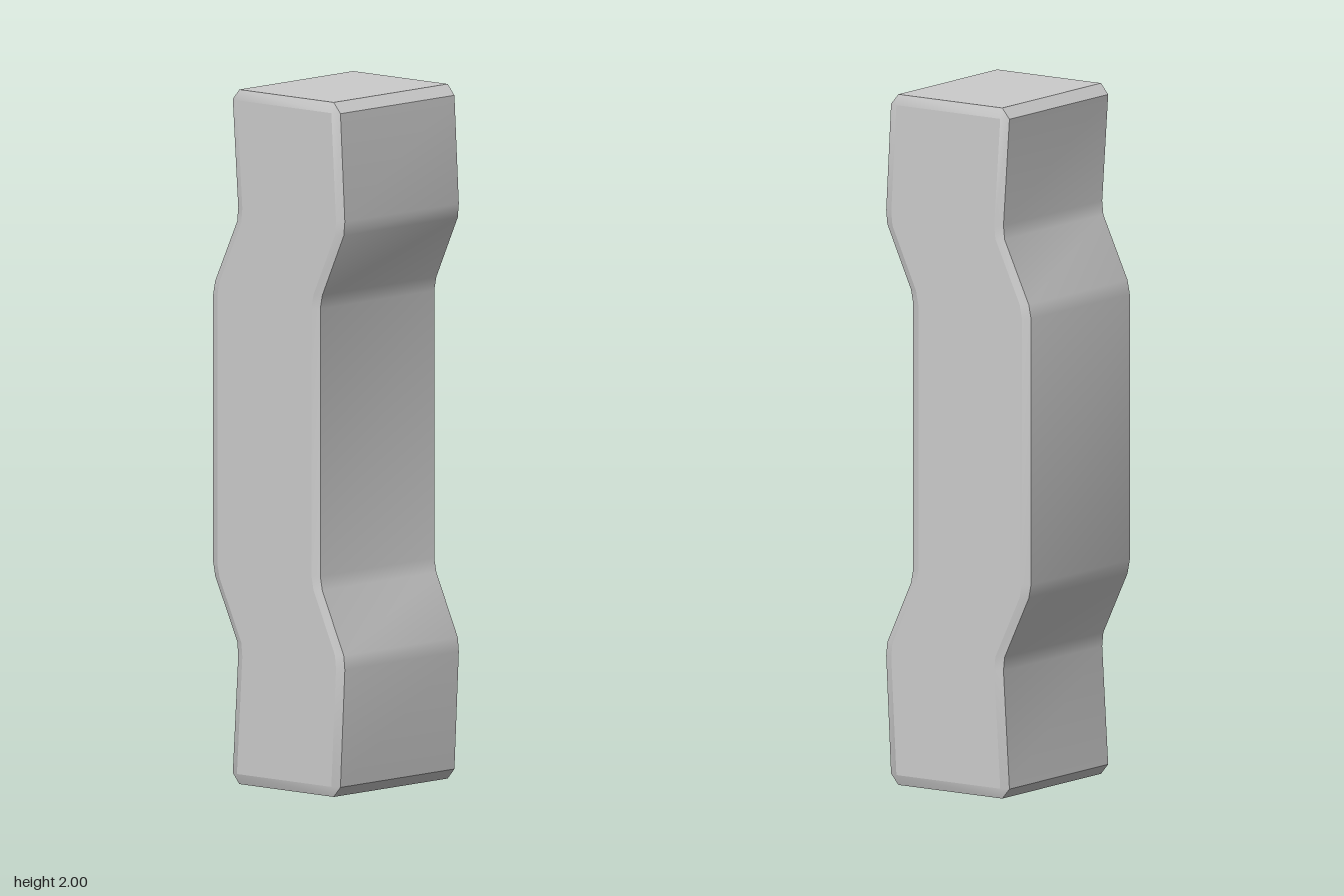
import * as THREE from 'three';
import { toCreasedNormals } from 'three/addons/utils/BufferGeometryUtils.js';

const SIDE_Z = 0.24, CAP_Z = 0.25, INSET = 0.025, LIP = 0.03;

// Bent edge from bottom to top: [x, y]; first and last points lie on the end faces
const bends = (end, corner, knee, knee2, waist, waist2) => [
  [end, 0], [corner, LIP], [knee, 0.37], [knee2, 0.41], [waist, 0.59], [waist2, 0.63],
  [waist2, 1.4], [waist, 1.44], [knee2, 1.62], [knee, 1.66], [corner, 2 - LIP], [end, 2],
];

// Surface strip joining two rings of equal point count, smooth along gentle bends
function strip(front, back) {
  const pos = [];
  const tri = (a, b, c) => {
    if (a.distanceTo(b) > 1e-5 && b.distanceTo(c) > 1e-5 && c.distanceTo(a) > 1e-5)
      for (const p of [a, b, c]) pos.push(p.x, p.y, p.z);
  };
  front.forEach((f, i) => {
    const j = (i + 1) % front.length;
    tri(f, back[i], back[j]);
    tri(f, back[j], front[j]);
  });
  const g = new THREE.BufferGeometry();
  g.setAttribute('position', new THREE.Float32BufferAttribute(pos, 3));
  return toCreasedNormals(g, 0.6);
}

export function createModel() {
  const group = new THREE.Group();
  group.name = 'bentBlock';
  const material = new THREE.MeshStandardMaterial({ color: 0xcccccc });
  const add = (name, geometry) => {
    const mesh = new THREE.Mesh(geometry, material);
    mesh.name = name;
    group.add(mesh);
    return mesh;
  };

  // Outline runs up the left edge (+x) and down the right edge (-x)
  const left = bends(0.21, 0.236, 0.253, 0.249, 0.166, 0.158);
  const right = bends(-0.155, -0.18, -0.159, -0.163, -0.248, -0.256).reverse();
  const outline = [...left, ...right];

  // Front outline: sides and ends moved in, chamfered corners closing to a point
  const inner = outline.map(([x, y], i) => {
    const onEnd = y === 0 || y === 2;
    const dx = onEnd ? 0 : i < left.length ? -INSET - (y === LIP || y === 2 - LIP ? 0.001 : 0) : INSET;
    return [x + dx, THREE.MathUtils.clamp(y, LIP, 2 - LIP)];
  });
  const ring = (pts, z) => pts.map(([x, y]) => new THREE.Vector3(x, y, z));

  // Long sides and both ends
  add('sides', strip(ring(outline, SIDE_Z), ring(outline, -SIDE_Z)));

  // Narrow bevels around the front and back faces
  add('frontBevel', strip(ring(inner, CAP_Z), ring(outline, SIDE_Z)));
  add('backBevel', strip(ring(outline, -SIDE_Z), ring(inner, -CAP_Z)));

  // Flat front and back faces, without the doubled corner points
  const corners = inner.filter(([, y], i) => outline[i][1] !== 0 && outline[i][1] !== 2);
  const face = (sign) => new THREE.ShapeGeometry(
    new THREE.Shape(corners.map(([x, y]) => new THREE.Vector2(x * sign, y))));
  add('frontFace', face(1)).position.z = CAP_Z;
  const backFace = add('backFace', face(-1));
  backFace.position.z = -CAP_Z;
  backFace.rotation.y = Math.PI;

  return group;
}
